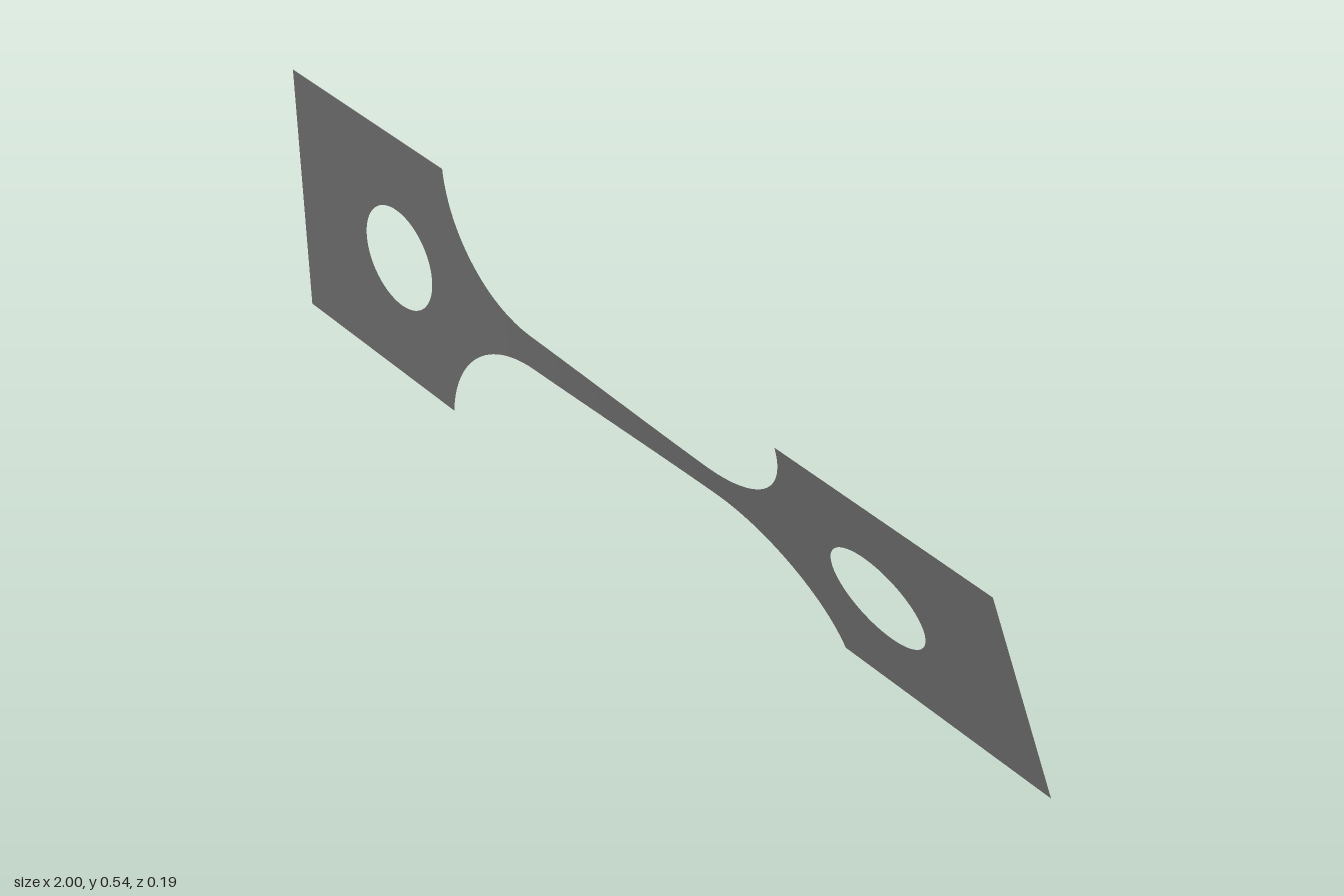
import * as THREE from 'three';

const CENTRE_Y = 0.272;   // height of the twist axis
const HALF = 0.271;       // half height of the end plates
const NECK = 0.037;       // half height of the narrow waist
const SHOULDER = 0.51;    // where plates begin
const R = 0.26;           // fillet radius
const DEG = Math.PI / 180;

// angle of twist about the x axis
const twist = (x) => DEG * (0.6 + 19.4 * THREE.MathUtils.smoothstep(x, -0.45, 0.35));

// turn every vertex about the long axis by the twist at its x
function applyTwist(geometry) {
  const p = geometry.attributes.position;
  for (let i = 0; i < p.count; i++) {
    const x = p.getX(i), y = p.getY(i), a = twist(x);
    p.setXYZ(i, x, CENTRE_Y + y * Math.cos(a), 0.001 + y * Math.sin(a));
  }
  geometry.computeVertexNormals();
  return geometry;
}

// square end plate with a round pin hole
function plateGeometry(side) {
  const x0 = side < 0 ? -1 : SHOULDER;
  const x1 = side < 0 ? -SHOULDER : 1;
  const shape = new THREE.Shape([
    new THREE.Vector2(x0, -HALF), new THREE.Vector2(x1, -HALF),
    new THREE.Vector2(x1, HALF), new THREE.Vector2(x0, HALF),
  ]);
  const hole = new THREE.Path();
  hole.absarc(side * 0.67, 0, 0.108, 0, Math.PI * 2, true);
  shape.holes.push(hole);
  return applyTwist(new THREE.ShapeGeometry(shape, 32));
}

// waist: straight neck with a circular fillet at each end
function waistGeometry() {
  const sweep = Math.acos((R - (HALF - NECK)) / R);
  const neckEnd = SHOULDER - R * Math.sin(sweep);
  const columns = [];
  const ARC = 24, STRAIGHT = 24;
  for (let i = ARC; i > 0; i--) {
    const a = sweep * i / ARC;
    columns.push([-neckEnd - R * Math.sin(a), NECK + R * (1 - Math.cos(a))]);
  }
  for (let i = 0; i <= STRAIGHT; i++) columns.push([neckEnd * (2 * i / STRAIGHT - 1), NECK]);
  for (let i = 1; i <= ARC; i++) {
    const a = sweep * i / ARC;
    columns.push([neckEnd + R * Math.sin(a), NECK + R * (1 - Math.cos(a))]);
  }
  const rows = 8;
  const geometry = new THREE.PlaneGeometry(2, 2, columns.length - 1, rows);
  const p = geometry.attributes.position;
  for (let i = 0; i < p.count; i++) {
    const [x, h] = columns[i % columns.length];
    p.setXY(i, x, p.getY(i) * h);
  }
  return applyTwist(geometry);
}

export function createModel() {
  const group = new THREE.Group();
  group.name = 'twistedTensileSpecimen';
  const grey = new THREE.MeshStandardMaterial({ color: 0xb0b0b0, side: THREE.DoubleSide });
  grey.name = 'grey';

  const add = (name, geometry) => {
    const mesh = new THREE.Mesh(geometry, grey);
    mesh.name = name;
    group.add(mesh);
  };
  add('rightGripPlate', plateGeometry(-1));
  add('waist', waistGeometry());
  add('leftGripPlate', plateGeometry(1));
  return group;
}
